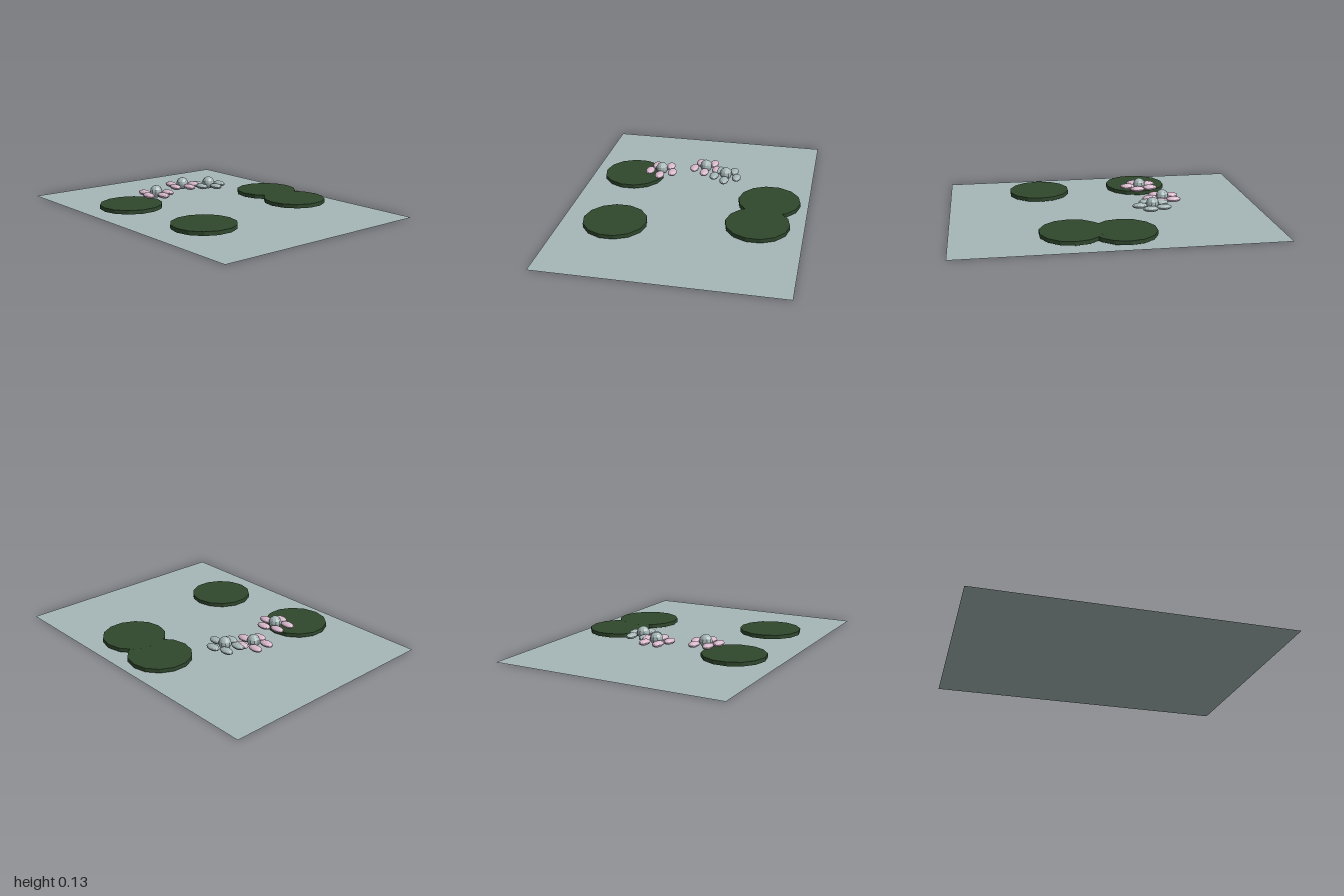
import * as THREE from 'three';

export function createModel() {
  const model = new THREE.Group();
  model.name = 'lilyPond';

  const paint = (name, color, extra = {}) => {
    const m = new THREE.MeshStandardMaterial({ color, flatShading: true, ...extra });
    m.name = name;
    return m;
  };
  const water = paint('water grey green', 0xa6b6b6, { side: THREE.DoubleSide });
  const leaf = paint('leaf green', 0x2f482d);
  const pink = paint('petal pink', 0xd8b8cc);
  const pale = paint('pale grey green', 0xa6b6b6);

  const add = (parent, name, geometry, material, x, y, z) => {
    const mesh = new THREE.Mesh(geometry, material);
    mesh.name = name;
    mesh.position.set(x, y, z);
    parent.add(mesh);
    return mesh;
  };

  // Water sheet
  const sheet = new THREE.PlaneGeometry(2, 1.5).rotateX(-Math.PI / 2);
  add(model, 'waterSurface', sheet, water, 0, 0, 0);

  // Floating lily pads
  const padGeometry = new THREE.CylinderGeometry(0.2, 0.2, 0.025, 14);
  const pads = [[-0.04, -0.5], [0.27, -0.463], [-0.277, 0.457], [0.4, 0.404]];
  pads.forEach(([x, z], i) =>
    add(model, `lilyPad${i + 1}`, padGeometry, leaf, x, 0.025 + i * 0.0002, z));

  // Blossoms: five flattened petals around a round centre
  const petalGeometry = new THREE.SphereGeometry(0.05, 12, 8).scale(1, 0.36, 0.6);
  const heartGeometry = new THREE.SphereGeometry(0.041, 10, 8);
  const blossoms = [[-0.275, -0.176, pale], [-0.37, -0.024, pink], [-0.273, 0.264, pink]];
  blossoms.forEach(([x, z, colour], i) => {
    const flower = new THREE.Group();
    flower.name = `blossom${i + 1}`;
    flower.position.set(x, 0.076, z);
    for (let k = 0; k < 5; k++) {
      const a = (k / 5) * Math.PI * 2;
      add(flower, `petal${k + 1}`, petalGeometry, colour, Math.cos(a) * 0.08, 0, Math.sin(a) * 0.08);
    }
    add(flower, 'flowerHeart', heartGeometry, pale, 0, 0.013, 0);
    model.add(flower);
  });

  return model;
}
